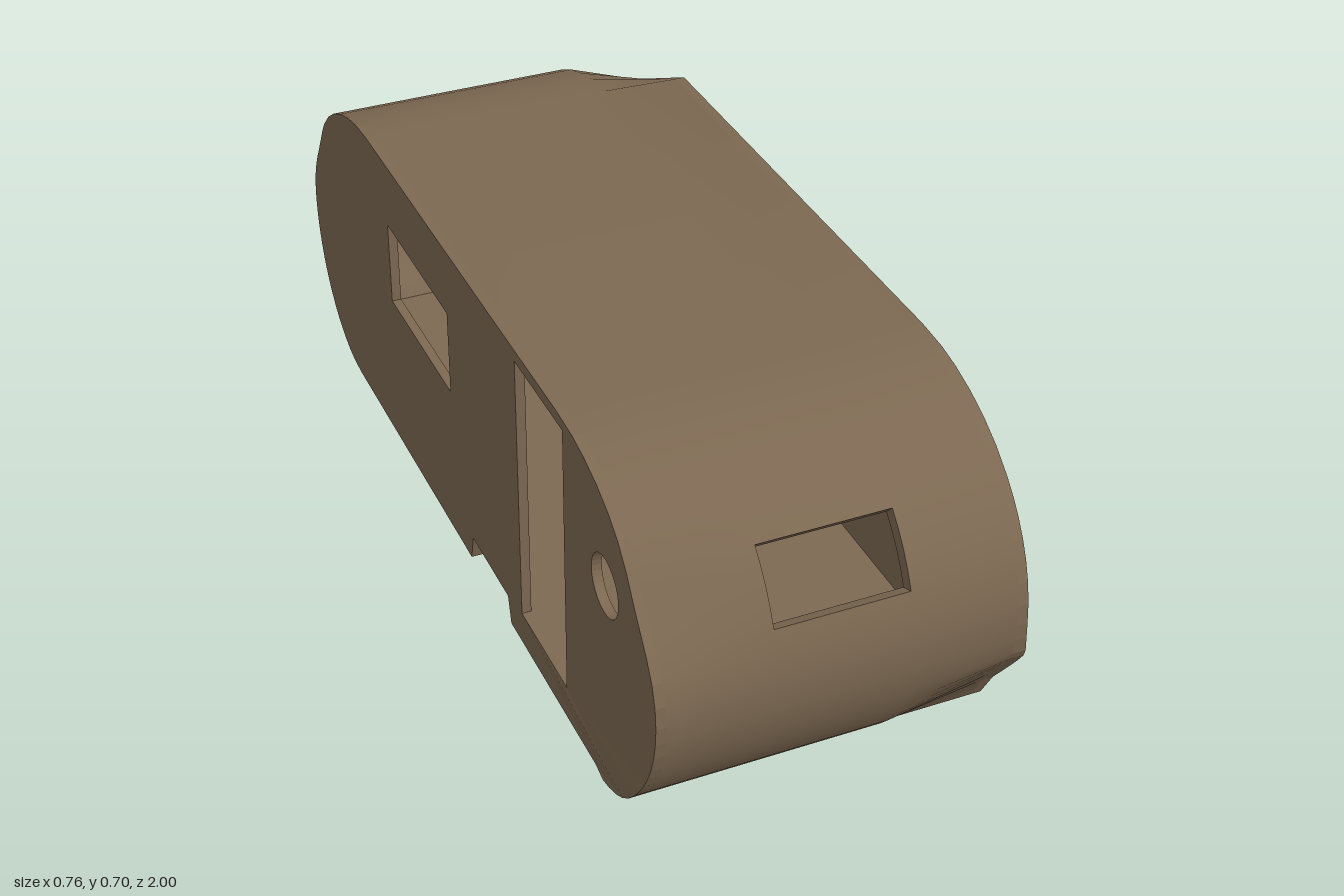
import * as THREE from 'three';
import { toCreasedNormals } from 'three/addons/utils/BufferGeometryUtils.js';

const WALL = 0.02, LEFT_X = -0.375, RIGHT_X = 0.365, FLOOR_Y = 0.075, SKIN = 0.03;
const ANGLES = [0, 0.115, 0.23, 0.3445, 0.44, 0.534, 0.629, 0.7239, 0.87, 1.0, 1.14, 1.28, 1.4, Math.PI / 2];
const WINDOW = [3, 7]; // profile points at the bottom and top of the front window
const clamp01 = (v) => THREE.MathUtils.clamp(v, 0, 1);
const bell = (v, centre, width) => Math.exp(-(((v - centre) / width) ** 2));

// Side outline as [z, y]: front, over the roof, round the back, along the notched underside
function outline() {
  const top = (s) => ANGLES.map((a) => [s * (0.55 + 0.45 * Math.cos(a)), 0.32 + 0.385 * Math.sin(a)]);
  const low = (s) => ANGLES.slice(1).map((a) => [s * (0.72 + 0.28 * Math.cos(a)), 0.32 - 0.32 * Math.sin(a)]);
  const notch = [[0.035, 0], [0.05, 0.06], [0.255, 0.06], [0.27, 0]];
  return [...top(1), ...top(-1).reverse(), ...low(-1), ...notch, ...low(1).reverse()];
}

// The outline at a given x, with the worn dents growing toward either side
function ring(x) {
  const back = clamp01((x - 0.17) / 0.175), front = clamp01((x - 0.13) / 0.215);
  const left = clamp01((-0.14 - x) / 0.215);
  return outline().map(([z, y]) => {
    if (z < -0.5) {
      if (y > 0.4) y += back * Math.min(0, 0.7 + (z + 0.55) * 0.49 - y);
      z += back * Math.max(0, -0.972 - z) + left * 0.02 * bell(y, 0.5, 0.08);
    } else if (z > 0.6) {
      if (y < 0.32 && z > 0.88) y += front * Math.max(0, 0.08 + (z - 0.88) * 1.417 - y);
      z -= left * 0.03 * bell(y, 0.52, 0.09);
    }
    return [z, y];
  });
}

// The inside of a ring: set in by the skin thickness, with a flat floor
function innerRing(pts) {
  const n = pts.length;
  return pts.map(([z, y], i) => {
    const p = pts[(i + n - 1) % n], q = pts[(i + 1) % n];
    const dz = q[0] - p[0], dy = q[1] - p[1], len = Math.hypot(dz, dy);
    if (y < 0.07) return [THREE.MathUtils.clamp(z, -0.87, 0.87), FLOOR_Y];
    return [z - (dy / len) * SKIN, Math.max(FLOOR_Y, y + (dz / len) * SKIN)];
  });
}

// Wrapped skin, lining and the reveal of the front window
function shellGeometry() {
  const xs = [LEFT_X + WALL, -0.25, -0.14, 0.13, 0.17, RIGHT_X - WALL];
  const place = (pts, x) => pts.map(([z, y]) => [x, y, z]);
  const outer = xs.map((x) => place(ring(x), x));
  const inner = xs.map((x) => place(innerRing(ring(x)), x));
  const pos = [];
  const quad = (a, b, c, d) => pos.push(...a, ...b, ...c, ...a, ...c, ...d);
  const n = outer[0].length, [w0, w1] = WINDOW;
  for (let s = 0; s < xs.length - 1; s++) {
    for (let i = 0; i < n; i++) {
      if (s === 2 && i >= w0 && i < w1) continue;
      const j = (i + 1) % n;
      quad(outer[s][i], outer[s + 1][i], outer[s + 1][j], outer[s][j]);
      quad(inner[s][i], inner[s][j], inner[s + 1][j], inner[s + 1][i]);
    }
  }
  for (let i = w0; i < w1; i++) {
    quad(outer[2][i], inner[2][i], inner[2][i + 1], outer[2][i + 1]);
    quad(outer[3][i], outer[3][i + 1], inner[3][i + 1], inner[3][i]);
  }
  quad(outer[2][w0], outer[3][w0], inner[3][w0], inner[2][w0]);
  quad(outer[2][w1], inner[2][w1], inner[3][w1], outer[3][w1]);
  const geo = new THREE.BufferGeometry();
  geo.setAttribute('position', new THREE.Float32BufferAttribute(pos, 3));
  return toCreasedNormals(geo, 0.5);
}

const toShape = ([z, y]) => new THREE.Vector2(-z, y);
const rect = (z0, z1, y0, y1) => new THREE.Path([[z0, y0], [z1, y0], [z1, y1], [z0, y1]].map(toShape));

// Flat side wall with openings; its outer edge swells a little near the front
function wallGeometry(x, depthSide, holes) {
  const shape = new THREE.Shape(ring(x).map(toShape));
  shape.holes.push(...holes);
  const geo = new THREE.ExtrudeGeometry(shape, { depth: WALL, bevelEnabled: false, curveSegments: 16 });
  geo.rotateY(Math.PI / 2);
  geo.translate(depthSide > 0 ? RIGHT_X - WALL : LEFT_X, 0, 0);
  const p = geo.attributes.position;
  for (let i = 0; i < p.count; i++) {
    const y = p.getY(i), z = p.getZ(i);
    if (Math.abs(p.getX(i) - x) > 0.001) continue;
    if (depthSide > 0 && z > 0.85) p.setX(i, x + 0.015 * bell(y, 0.19, 0.08));
    if (depthSide < 0 && z > 0.74) p.setX(i, x - 0.01 * bell(y, 0.08, 0.1));
  }
  geo.computeVertexNormals();
  return geo;
}

export function createModel() {
  const group = new THREE.Group();
  const brown = new THREE.MeshStandardMaterial({ color: 0x7d6952, side: THREE.DoubleSide });
  brown.name = 'brown';
  const add = (name, geo) => {
    const mesh = new THREE.Mesh(geo, brown);
    mesh.name = name;
    group.add(mesh);
  };

  add('camperShell', shellGeometry());

  // Four windows on the left side
  const frontWindow = new THREE.Path([[0.34, 0.305], [0.695, 0.32], [0.71, 0.54], [0.34, 0.54]].map(toShape));
  add('leftWall', wallGeometry(RIGHT_X, 1, [
    frontWindow,
    rect(0, 0.17, 0.44, 0.54),
    rect(-0.3, -0.13, 0.44, 0.54),
    rect(-0.805, -0.435, 0.305, 0.54),
  ]));

  // Door, window and porthole on the right side
  const porthole = new THREE.Path().absarc(-0.77, 0.47, 0.062, 0, Math.PI * 2);
  add('rightWall', wallGeometry(LEFT_X, -1, [
    rect(0.335, 0.575, FLOOR_Y, 0.68),
    rect(-0.43, -0.055, 0.365, 0.555),
    porthole,
  ]));
  return group;
}
